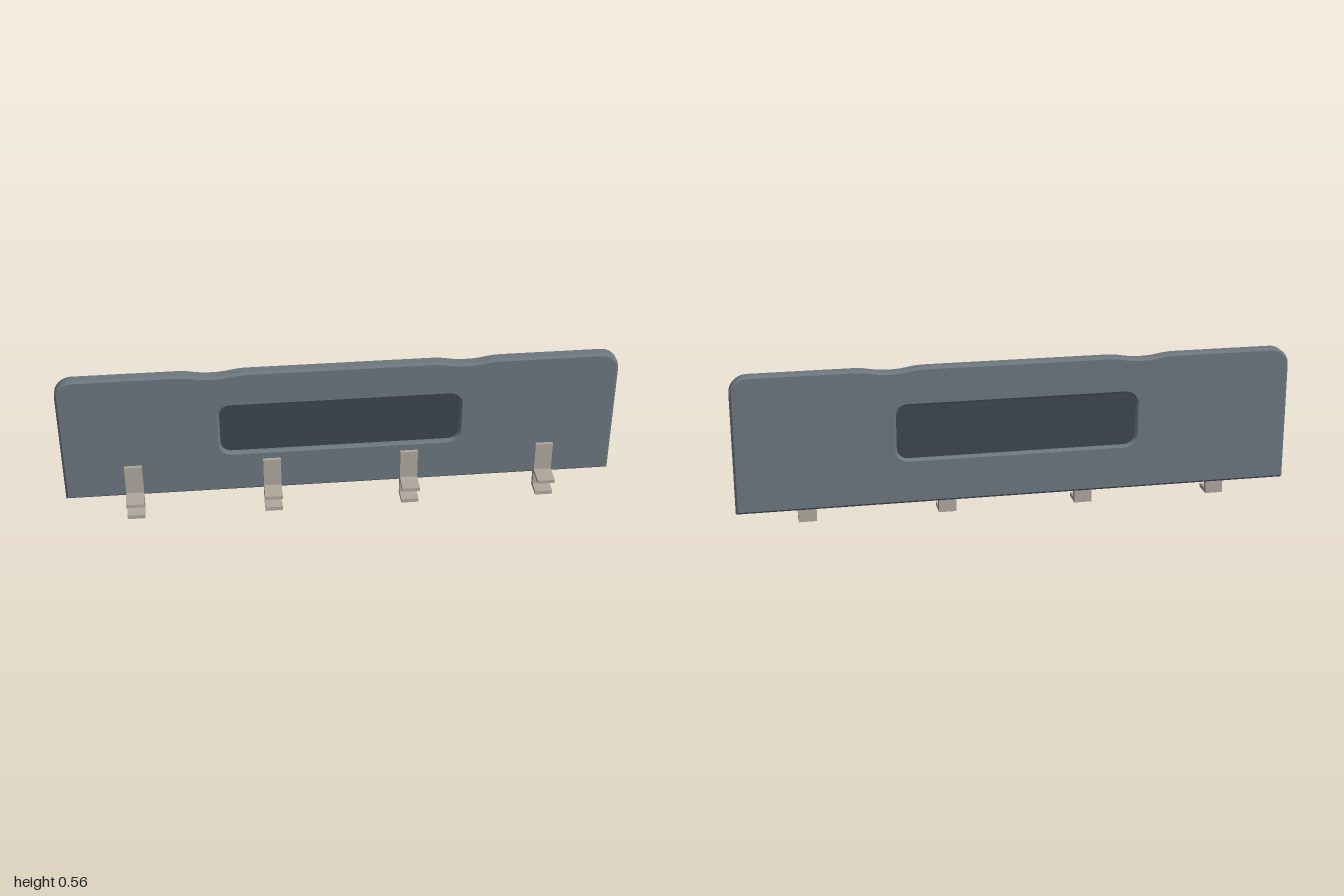
import * as THREE from 'three';
import { toCreasedNormals } from 'three/addons/utils/BufferGeometryUtils.js';

const LEFT = -1, RIGHT = 1, BOTTOM = 0.058, TOP = 0.556;
const FRONT = -0.02, BACK = -0.066, BEVEL = 0.008;

// Board outline: rounded top corners and two shallow dips in the top edge
function boardOutline() {
  const r = 0.065, dipX = 0.45, half = 0.13, depth = 0.012;
  const s = new THREE.Shape();
  s.moveTo(LEFT, BOTTOM);
  s.lineTo(RIGHT, BOTTOM);
  s.lineTo(RIGHT, TOP - r);
  s.absarc(RIGHT - r, TOP - r, r, 0, Math.PI / 2, false);
  for (const x of [dipX, -dipX]) {
    s.lineTo(x + half, TOP);
    s.bezierCurveTo(x + half / 2, TOP, x + half / 2, TOP - depth, x, TOP - depth);
    s.bezierCurveTo(x - half / 2, TOP - depth, x - half / 2, TOP, x - half, TOP);
  }
  s.lineTo(LEFT + r, TOP);
  s.absarc(LEFT + r, TOP - r, r, Math.PI / 2, Math.PI, false);
  s.closePath();
  return s;
}

// Rounded window outline, grown outwards by g
function windowOutline(path, g = 0) {
  const x = 0.432 + g, y0 = 0.222 - g, y1 = 0.418 + g, r = 0.04 + g;
  path.moveTo(-x + r, y0);
  path.absarc(x - r, y0 + r, r, -Math.PI / 2, 0, false);
  path.absarc(x - r, y1 - r, r, 0, Math.PI / 2, false);
  path.absarc(-x + r, y1 - r, r, Math.PI / 2, Math.PI, false);
  path.absarc(-x + r, y0 + r, r, Math.PI, Math.PI * 1.5, false);
  path.closePath();
  return path;
}

export function createModel() {
  const slate = new THREE.MeshStandardMaterial({ color: 0x6c7780 });
  slate.name = 'slateGrey';
  const dark = new THREE.MeshStandardMaterial({ color: 0x3e4650 });
  dark.name = 'darkInset';
  const metal = new THREE.MeshStandardMaterial({ color: 0xb0a89e });
  metal.name = 'warmGreyMetal';

  const model = new THREE.Group();
  model.name = 'clampOnScreen';

  // Chamfered board with a window cut through it
  const outline = boardOutline();
  outline.holes.push(windowOutline(new THREE.Path()));
  const boardGeo = new THREE.ExtrudeGeometry(outline, {
    depth: FRONT - BACK - 2 * BEVEL, curveSegments: 8,
    bevelEnabled: true, bevelThickness: BEVEL, bevelSize: BEVEL,
    bevelOffset: -BEVEL, bevelSegments: 1,
  });
  boardGeo.translate(0, 0, BACK + BEVEL);
  const board = new THREE.Mesh(toCreasedNormals(boardGeo, 0.5), slate);
  board.name = 'board';
  model.add(board);

  // Thin dark pane in the middle of the window, tucked into the board
  const paneGeo = new THREE.ExtrudeGeometry(windowOutline(new THREE.Shape(), 0.003), {
    depth: 0.012, bevelEnabled: false, curveSegments: 8,
  });
  paneGeo.translate(0, 0, (FRONT + BACK) / 2 - 0.006);
  const pane = new THREE.Mesh(paneGeo, dark);
  pane.name = 'windowPane';
  model.add(pane);

  // Desk clamps: upright plate with an upper and a lower jaw
  const parts = [
    ['uprightPlate', 0, 0.19, -0.027, -0.007],
    ['upperJaw', 0.067, 0.08, -0.01, 0.067],
    ['lowerJaw', 0, 0.015, -0.01, 0.043],
  ];
  for (const x of [-0.75, -0.25, 0.25, 0.75]) {
    const clamp = new THREE.Group();
    clamp.name = 'clamp';
    clamp.position.x = x;
    for (const [name, y0, y1, z0, z1] of parts) {
      // jaws are a hair narrower so their sides do not overlap the plate's
      const w = name === 'uprightPlate' ? 0.064 : 0.0636;
      const part = new THREE.Mesh(new THREE.BoxGeometry(w, y1 - y0, z1 - z0), metal);
      part.name = name;
      part.position.set(0, (y0 + y1) / 2, (z0 + z1) / 2);
      clamp.add(part);
    }
    model.add(clamp);
  }
  return model;
}
